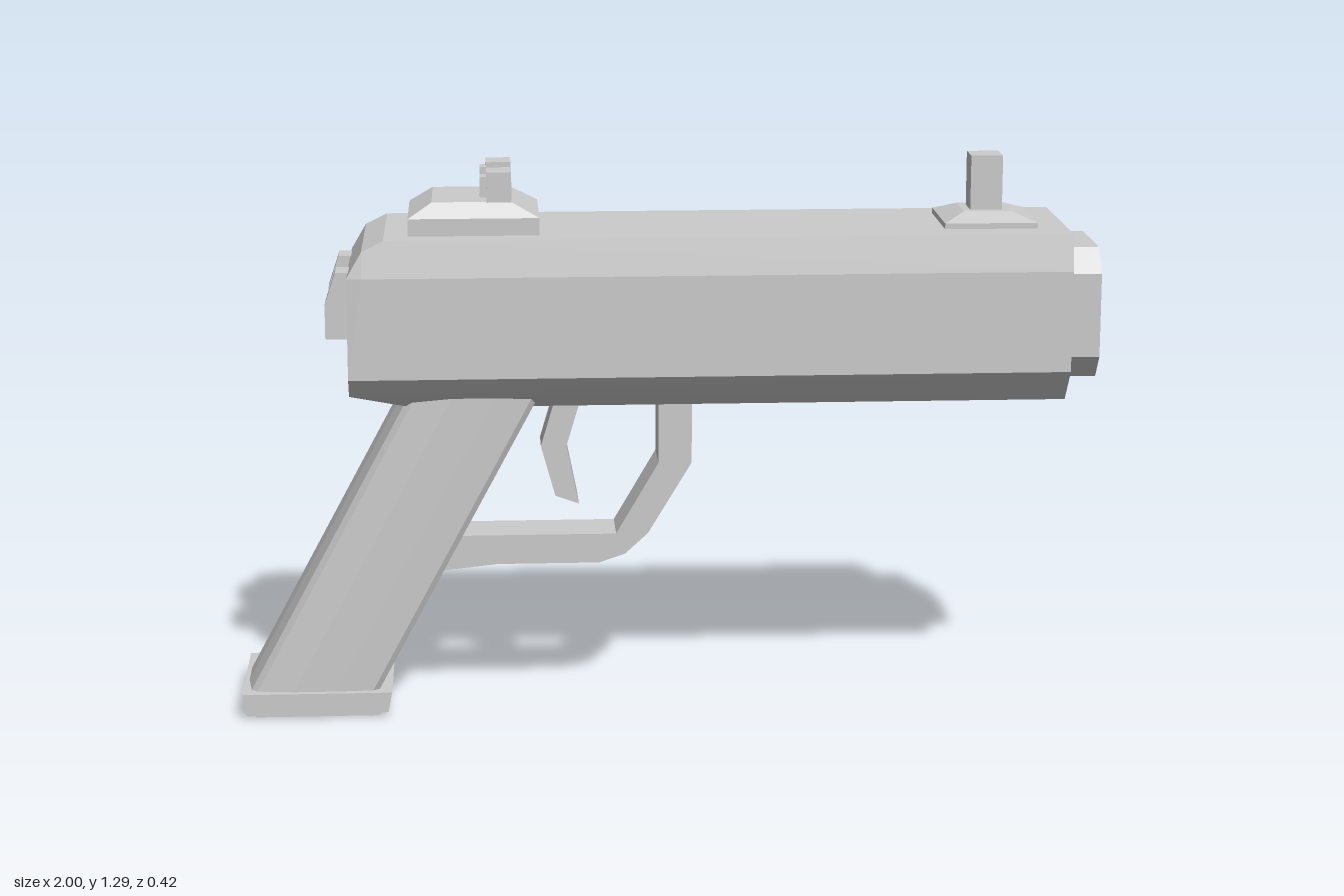
import * as THREE from 'three';
import { ConvexGeometry } from 'three/addons/geometries/ConvexGeometry.js';

const CZ = 0.01; // the body's middle plane

export function createModel() {
  const model = new THREE.Group();
  const material = new THREE.MeshStandardMaterial({ color: 0xcccccc, flatShading: true });

  function add(name, geometry) {
    const mesh = new THREE.Mesh(geometry, material);
    mesh.name = name;
    model.add(mesh);
    return mesh;
  }
  const vec = (p) => new THREE.Vector2(p[0], p[1]);

  // Box given by its limits
  function box(name, x0, x1, y0, y1, z0, z1) {
    add(name, new THREE.BoxGeometry(x1 - x0, y1 - y0, z1 - z0))
      .position.set((x0 + x1) / 2, (y0 + y1) / 2, (z0 + z1) / 2);
  }
  // Side profile (x, y) extruded from z0 to z1
  function plate(name, points, z0, z1) {
    const geometry = new THREE.ExtrudeGeometry(new THREE.Shape(points.map(vec)),
      { depth: z1 - z0, bevelEnabled: false });
    geometry.translate(0, 0, z0);
    add(name, geometry);
  }
  // Convex solid from mirrored [x, y, halfWidth] points
  function hull(name, points, cz = CZ) {
    const all = [];
    for (const [x, y, h] of points) {
      all.push(new THREE.Vector3(x, y, cz + h), new THREE.Vector3(x, y, cz - h));
    }
    add(name, new ConvexGeometry(all));
  }
  // Octagon in (z, y) with cut corners
  const octagon = (hw, hh, cw, ch) => [
    [-hw + cw, -hh], [hw - cw, -hh], [hw, -hh + ch], [hw, hh - ch],
    [hw - cw, hh], [-hw + cw, hh], [-hw, hh - ch], [-hw, -hh + ch],
  ].map(vec);

  // Slide: chamfered bar with a sloped tail
  hull('slide', [
    [0.925, 0.735, 0.13], [0.925, 0.815, 0.2], [0.925, 1.05, 0.2], [0.925, 1.135, 0.185],
    [-0.59, 0.735, 0.13], [-0.735, 0.77, 0.165], [-0.735, 0.815, 0.2], [-0.735, 1.05, 0.195],
    [-0.7, 1.05, 0.2], [-0.7, 1.11, 0.188], [-0.65, 1.135, 0.185],
  ]);

  // Muzzle ring with a recessed bore
  const ring = new THREE.Shape(octagon(0.15, 0.153, 0.045, 0.055));
  ring.holes.push(new THREE.Path(octagon(0.092, 0.095, 0.045, 0.07).reverse()));
  const muzzle = new THREE.ExtrudeGeometry(ring, { depth: 0.075, bevelEnabled: false });
  muzzle.rotateY(Math.PI / 2);
  add('muzzle', muzzle).position.set(0.925, 0.937, CZ);

  // Grip: slanted column with slightly bulging sides
  const gripSection = [[0, 0.135], [-0.015, 0.146], [-0.1, 0.15], [-0.2, 0.15],
    [-0.285, 0.14], [-0.3, 0.125], [-0.31, 0.05]];
  const gripPoints = [];
  for (const [x, y] of [[-0.685, 0.05], [-0.29, 0.78]]) {
    for (const [dx, h] of gripSection) gripPoints.push([x + dx, y, h]);
  }
  hull('grip', gripPoints, 0.015);

  // Base plate under the grip
  plate('gripBase', [[-0.99, 0.008], [-0.66, 0.012], [-0.65, 0.06], [-1, 0.06]], -0.15, 0.18);
  box('gripBaseSole', -0.97, -0.68, 0, 0.02, -0.135, 0.165);

  // Trigger guard and trigger
  plate('triggerGuard', [
    [-0.02, 0.75], [-0.02, 0.58], [-0.12, 0.41], [-0.52, 0.41], [-0.58, 0.32], [-0.54, 0.325],
    [-0.4, 0.34], [-0.16, 0.34], [-0.1, 0.36], [-0.045, 0.41], [0.058, 0.58], [0.058, 0.75],
  ], -0.052, 0.08);
  plate('trigger', [
    [-0.265, 0.75], [-0.265, 0.72], [-0.295, 0.62], [-0.262, 0.5], [-0.207, 0.48],
    [-0.235, 0.62], [-0.205, 0.72], [-0.205, 0.75],
  ], -0.035, 0.063);

  // Rear sight with two posts and small inserts
  hull('rearSightBase', [
    [-0.595, 1.12, 0.13], [-0.595, 1.175, 0.13], [-0.295, 1.12, 0.13], [-0.295, 1.175, 0.13],
    [-0.54, 1.21, 0.11], [-0.36, 1.21, 0.11],
  ], 0.013);
  for (const side of [-1, 1]) {
    const c = 0.012 + side * 0.075;
    box('rearSightPost', -0.415, -0.358, 1.2, 1.278, c - 0.037, c + 0.037);
    box('rearSightInsert', -0.43, -0.41, 1.218, 1.265, c - 0.024, c + 0.024);
  }

  // Front sight
  hull('frontSightBase', [
    [0.64, 1.125, 0.11], [0.64, 1.148, 0.11], [0.855, 1.125, 0.11], [0.855, 1.148, 0.11],
    [0.69, 1.168, 0.06], [0.8, 1.168, 0.06],
  ], 0.007);
  box('frontSightPost', 0.708, 0.782, 1.15, 1.295, -0.025, 0.047);

  // Paired tabs on the tail
  for (const side of [-1, 1]) {
    const c = 0.013 + side * 0.105;
    plate('rearTab', [[-0.72, 0.9], [-0.72, 1.055], [-0.762, 1.055], [-0.787, 0.98], [-0.787, 0.9]],
      c - 0.035, c + 0.035);
  }

  // Raised panels on the right flank
  box('ejectionPanel', 0.06, 0.49, 0.9, 1.055, -0.21, -0.16);
  box('sidePanel', -0.425, -0.27, 0.97, 1.05, -0.2, -0.16);

  return model;
}
